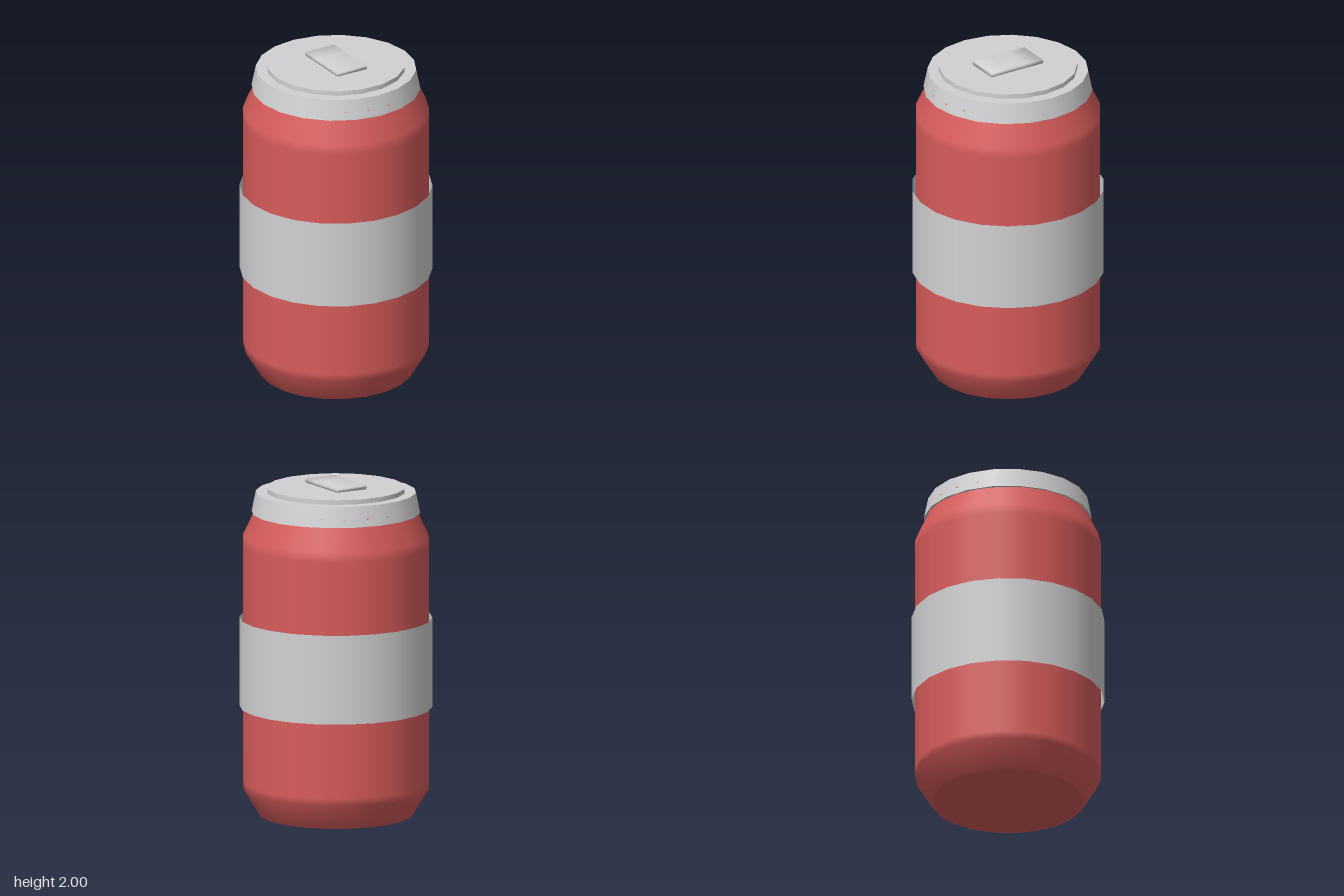
import * as THREE from 'three';
import { mergeVertices } from 'three/addons/utils/BufferGeometryUtils.js';

const START = Math.PI / 2; // puts a polygon corner on the x axis

// Thin tab with slightly tapered edges and soft shading towards its ends
function tabGeometry(w, h, d) {
  const box = new THREE.BoxGeometry(w, h, d, 1, 2, 3);
  box.deleteAttribute('uv');
  box.deleteAttribute('normal');
  const geo = mergeVertices(box);
  const p = geo.attributes.position;
  const normals = [];
  const n = new THREE.Vector3();
  for (let i = 0; i < p.count; i++) {
    const x = p.getX(i), y = p.getY(i), z = p.getZ(i);
    const end = Math.abs(z) > d * 0.4 ? Math.sign(z) : 0;
    const edge = Math.abs(y) > h * 0.4;
    n.set(Math.sign(x) * (edge ? 0.15 : 1), edge ? Math.sign(y) : 0, end * 0.7).normalize();
    normals.push(n.x, n.y, n.z);
    if (edge) p.setXYZ(i, x * 0.96, y, z * 0.98);
  }
  geo.setAttribute('normal', new THREE.Float32BufferAttribute(normals, 3));
  return geo;
}

export function createModel() {
  const model = new THREE.Group();
  const red = new THREE.MeshStandardMaterial({ color: 0xd95c5c });
  red.name = 'red paint';
  const metal = new THREE.MeshStandardMaterial({ color: 0xd2d2d4, side: THREE.DoubleSide });
  metal.name = 'light grey metal';

  const add = (name, geometry, material, y = 0) => {
    const mesh = new THREE.Mesh(geometry, material);
    mesh.name = name;
    mesh.position.y = y;
    model.add(mesh);
  };
  const drum = (top, bottom, y0, y1, sides, open = false) => [
    new THREE.CylinderGeometry(top, bottom, y1 - y0, sides, 1, open, START), metal, (y0 + y1) / 2];

  // Can body: bevelled foot, straight wall, sloped shoulder and short neck
  const profile = [
    [0, 0], [0.43, 0], [0.455, 0], [0.55, 0.155], [0.55, 0.2],
    [0.55, 1.62], [0.55, 1.68], [0.486, 1.815], [0.486, 1.867], [0, 1.867],
  ].map(([r, y]) => new THREE.Vector2(r, y));
  add('body', new THREE.LatheGeometry(profile, 22, START), red);

  // Open sleeve around the middle
  add('band', ...drum(0.57, 0.57, 0.65, 1.185, 22, true));

  // Lid parts
  add('rim', ...drum(0.475, 0.5, 1.82, 1.942, 20));
  add('lid', ...drum(0.41, 0.41, 1.94, 1.97, 18));
  add('pullTab', tabGeometry(0.208, 0.025, 0.364), metal, 1.9875);

  return model;
}
